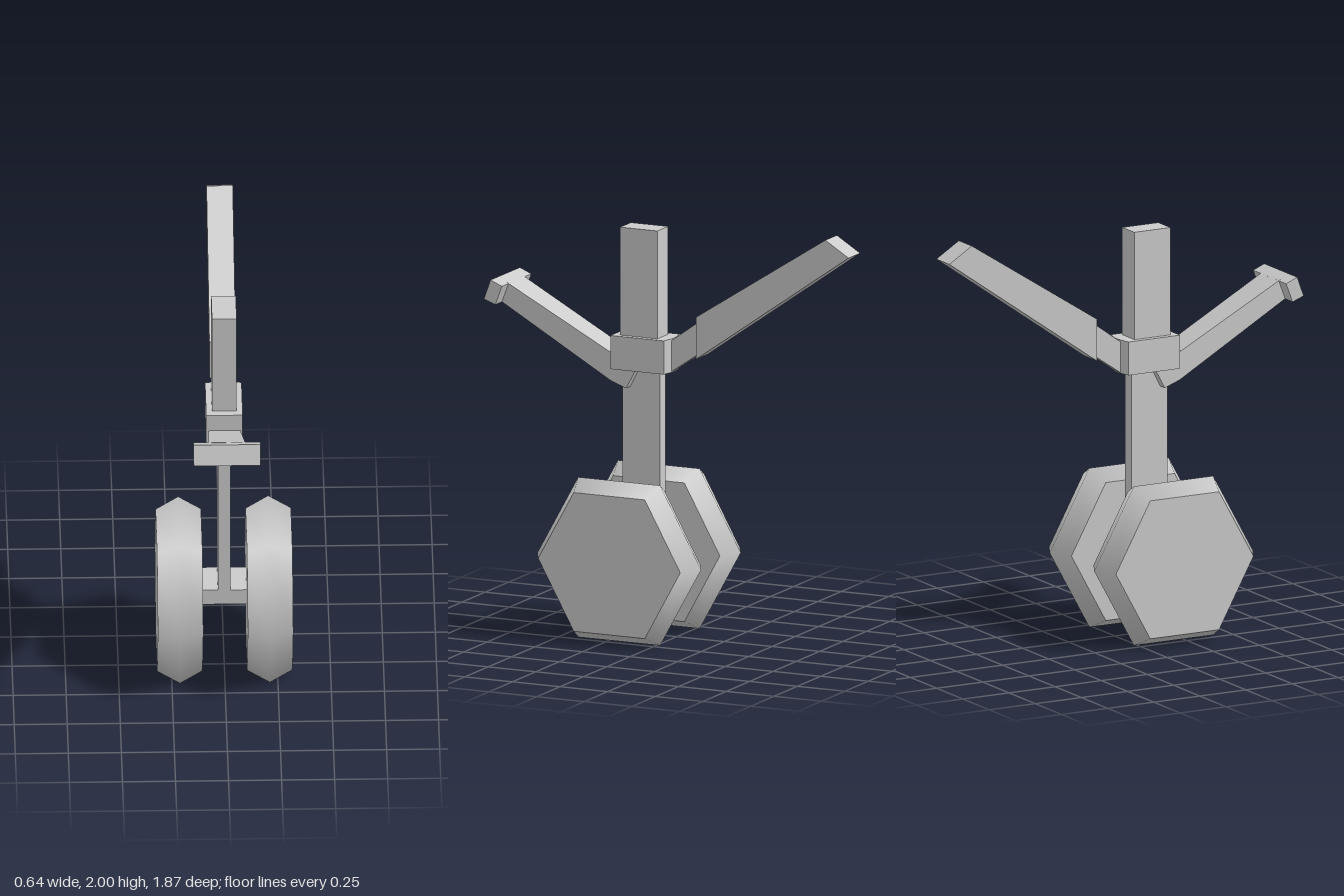
import * as THREE from 'three';

const material = new THREE.MeshStandardMaterial({ color: 0xcccccc });

function add(group, name, geometry) {
  const mesh = new THREE.Mesh(geometry, material);
  mesh.name = name;
  group.add(mesh);
  return mesh;
}

function extrude(points, depth) {
  const shape = new THREE.Shape(points.map(([a, b]) => new THREE.Vector2(a, b)));
  return new THREE.ExtrudeGeometry(shape, { depth, bevelEnabled: false });
}

// Side outline of [z, y] points, extruded symmetrically across x
function prism(points, width) {
  return extrude(points, width).translate(0, 0, -width / 2).rotateY(-Math.PI / 2);
}

function box(w, h, d, y, z) {
  return new THREE.BoxGeometry(w, h, d).translate(0, y, z);
}

// Six-sided wheel with flat faces and a ridge around the middle of the tread
function wheelGeometry() {
  const ridge = 0.43, face = 0.373;
  const geometry = new THREE.CylinderGeometry(face, face, 0.214, 6, 2);
  const p = geometry.attributes.position;
  for (let i = 0; i < p.count; i++) {
    if (Math.abs(p.getY(i)) < 0.01) {
      p.setX(i, p.getX(i) * ridge / face);
      p.setZ(i, p.getZ(i) * ridge / face);
    }
  }
  return geometry.rotateZ(Math.PI / 2).scale(1, 1.035, 1);
}

export function createModel() {
  const group = new THREE.Group();
  group.name = 'landingGear';

  // Wheels and axle
  for (const side of [1, -1]) {
    add(group, side > 0 ? 'leftWheel' : 'rightWheel', wheelGeometry())
      .position.set(side * 0.212, 0.386, 0.198);
  }
  add(group, 'axle', box(0.23, 0.08, 0.196, 0.39, 0.171));

  // Main strut: thin lower leg sliding into a thicker upper one
  add(group, 'lowerStrut', box(0.06, 0.97, 0.196, 0.835, 0.171));
  add(group, 'upperStrut', box(0.116, 0.68, 0.196, 1.62, 0.171));

  // Collar with a shallow point at the back
  add(group, 'collar', extrude(
    [[-0.086, 0.306], [-0.086, 0.026], [-0.02, 0.012], [0.02, 0.012], [0.086, 0.026], [0.086, 0.306]],
    0.162).rotateX(Math.PI / 2).translate(0, 1.44, 0));

  // Front brace, widening towards its cross bar
  const brace = prism(
    [[0.25, 1.325], [0.308, 1.355], [0.85, 1.645], [0.885, 1.555], [0.31, 1.22], [0.23, 1.19], [0.185, 1.275]], 1);
  const p = brace.attributes.position;
  for (let i = 0; i < p.count; i++) p.setX(i, p.getX(i) * (0.135 + 0.045 * p.getZ(i)));
  brace.computeVertexNormals();
  add(group, 'frontBrace', brace);
  add(group, 'frontCrossBar', prism(
    [[0.84, 1.64], [0.9, 1.665], [0.935, 1.57], [0.875, 1.548]], 0.315));

  // Rear brace: narrow link and heavier arm
  add(group, 'rearLink', prism(
    [[0.03, 1.42], [0.016, 1.43], [-0.15, 1.55], [-0.15, 1.395], [0.016, 1.28], [0.03, 1.28]], 0.058));
  add(group, 'rearBrace', prism(
    [[-0.132, 1.565], [-0.81, 2], [-0.932, 1.925], [-0.132, 1.362]], 0.124));

  return group;
}
